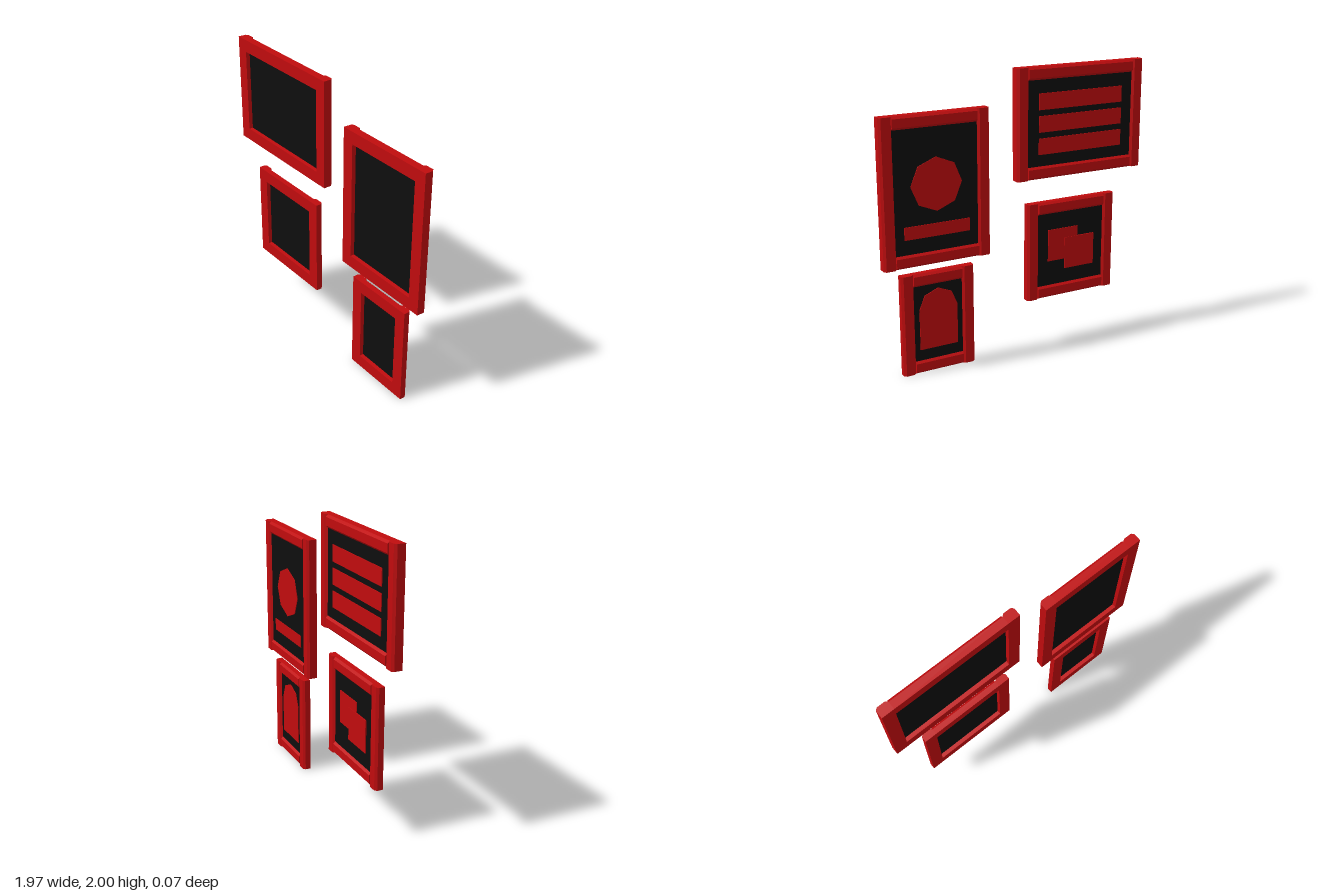
import * as THREE from 'three';

const FRONT = 0.035; // shared front plane of all frames
const W = 0.087;     // moulding width
const C = 0.015;     // moulding chamfer

export function createModel() {
  const red = new THREE.MeshStandardMaterial({ color: 0xc00c0e });
  red.name = 'red';
  const black = new THREE.MeshStandardMaterial({ color: 0x0e0e0e });
  black.name = 'black';
  const model = new THREE.Group();
  model.name = 'pictureFrames';

  function add(parent, name, geometry, material, x, y, z) {
    const mesh = new THREE.Mesh(geometry, material);
    mesh.name = name;
    mesh.position.set(x, y, z);
    parent.add(mesh);
    return mesh;
  }

  // Upright moulding, both long edges chamfered on the -z side
  function moulding(length, back) {
    const h = W / 2;
    const shape = new THREE.Shape([
      [-h, -FRONT], [h, -FRONT], [h, -back - C], [h - C, -back], [C - h, -back], [-h, -back - C],
    ].map(([x, y]) => new THREE.Vector2(x, y)));
    const g = new THREE.ExtrudeGeometry(shape, { depth: length, bevelEnabled: false });
    g.translate(0, 0, -length / 2);
    return g.rotateX(-Math.PI / 2);
  }

  // Frame with full-height stiles, rails between them and a recessed panel
  function frame(name, x0, x1, y0, y1, back) {
    const group = new THREE.Group();
    group.name = name;
    const cx = (x0 + x1) / 2, cy = (y0 + y1) / 2, w = x1 - x0, h = y1 - y0;
    const face = back + C, panelFront = 0.006;
    for (const s of [-1, 1]) {
      add(group, s > 0 ? 'leftStile' : 'rightStile', moulding(h, back), red, cx + s * (w - W) / 2, cy, 0);
      add(group, s > 0 ? 'topRail' : 'bottomRail', moulding(w - 2 * W, back).rotateZ(Math.PI / 2), red,
        cx, cy + s * (h - W) / 2, 0);
    }
    add(group, 'panel', new THREE.BoxGeometry(w - 2 * W, h - 2 * W, panelFront - face), black,
      cx, cy, (panelFront + face) / 2);
    model.add(group);
    return { group, cx, cy, face };
  }

  // Thin artwork plate on the panel
  function plate(f, name, x, y, w, h, t = 0.005) {
    add(f.group, name, new THREE.BoxGeometry(w, h, t), red, x, y, f.face - t / 2);
  }

  // Wide frame with three stripes
  const wide = frame('wideFrame', -0.985, 0.013, 1.237, 2, -0.035);
  for (let i = -1; i <= 1; i++) plate(wide, 'stripe', wide.cx, wide.cy - 0.005 + i * 0.153, 0.66, 0.112);

  // Tall frame with an octagon above a bar
  const tall = frame('tallFrame', 0.22, 0.983, 0.768, 1.768, -0.035);
  const disc = new THREE.CylinderGeometry(0.18, 0.18, 0.005, 8).rotateX(Math.PI / 2);
  add(tall.group, 'octagon', disc, red, tall.cx, 1.305, tall.face - 0.0025);
  plate(tall, 'bar', tall.cx, 1.0, 0.465, 0.087);

  // Small frame with an arch
  const small = frame('smallFrame', 0.34, 0.865, 0, 0.708, -0.02);
  const r = 0.138;
  const points = [new THREE.Vector2(-r, -0.285), new THREE.Vector2(r, -0.285)];
  for (let i = 0; i <= 4; i++) {
    const a = i * Math.PI / 4;
    points.push(new THREE.Vector2(r * Math.cos(a), r * Math.sin(a)));
  }
  const arch = new THREE.ExtrudeGeometry(new THREE.Shape(points), { depth: 0.005, bevelEnabled: false });
  add(small.group, 'arch', arch, red, small.cx, 0.45, small.face - 0.005);

  // Square frame with two overlapping squares
  const square = frame('squareFrame', -0.78, -0.077, 0.357, 1.06, -0.02);
  plate(square, 'upperSquare', square.cx + 0.064, square.cy + 0.03, 0.24, 0.23);
  plate(square, 'lowerSquare', square.cx - 0.07, square.cy - 0.043, 0.24, 0.23, 0.008);

  return model;
}
